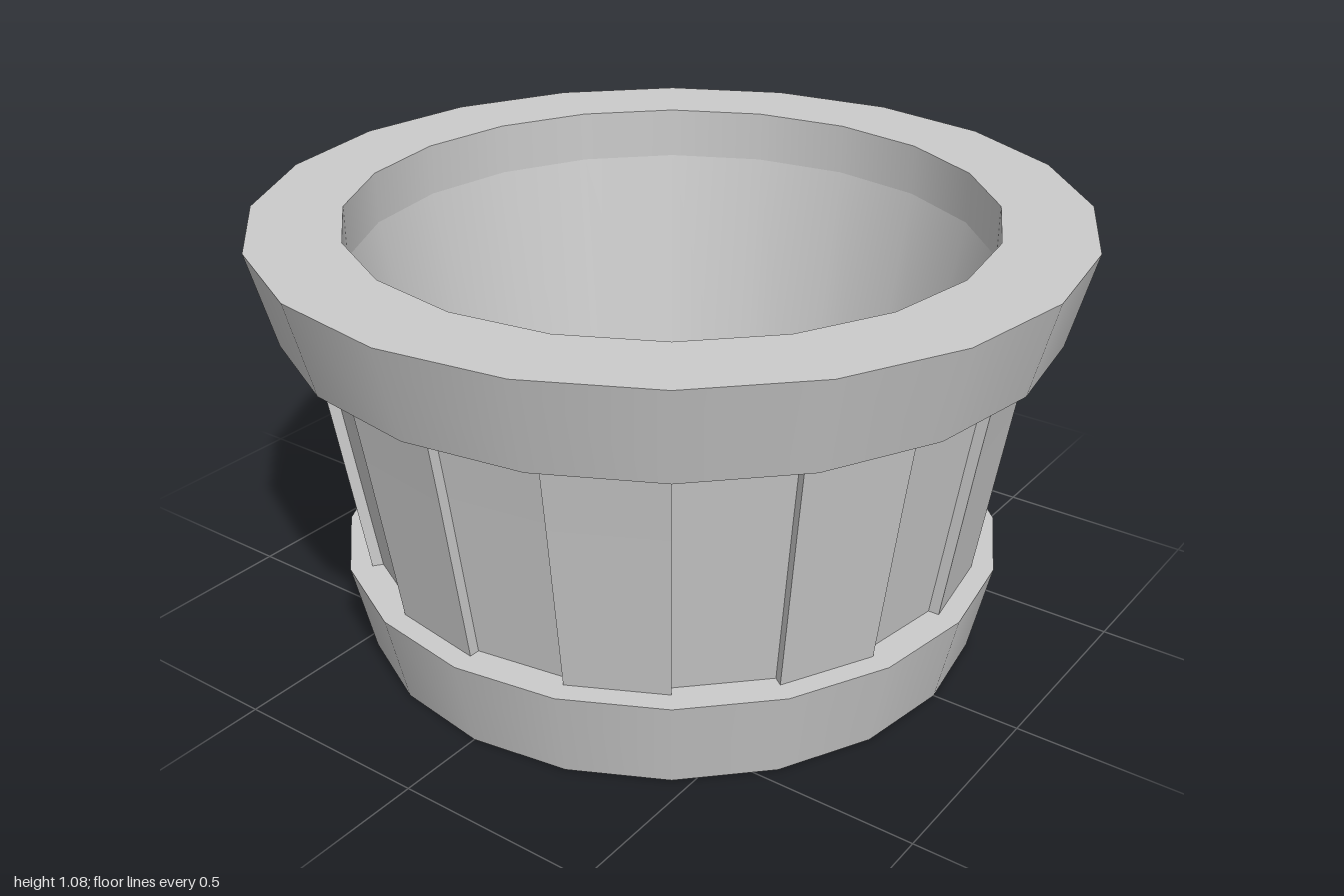
import * as THREE from 'three';

const SIDES = 20;
const STEP = (Math.PI * 2) / SIDES;
const material = new THREE.MeshStandardMaterial({ color: 0xcccccc });

// Revolved part: smooth around the axis, with a sharp edge at every profile point.
// Profiles run bottom to top on the outside, top to bottom on the inside.
function revolved(name, profile) {
  const group = new THREE.Group();
  group.name = name;
  for (let i = 0; i < profile.length - 1; i++) {
    const points = [profile[i], profile[i + 1]].map(([r, y]) => new THREE.Vector2(r, y));
    const mesh = new THREE.Mesh(new THREE.LatheGeometry(points, SIDES), material);
    mesh.name = name + 'Band' + (i + 1);
    group.add(mesh);
  }
  return group;
}

// One flat wooden stave: a front that follows the wall profile, and two radial sides.
function stave(index, inset) {
  const rows = [[0.762, 0.15], [0.776, 0.23], [0.842, 0.66], [0.868, 0.82]];
  const depth = 0.06;
  const a = index * STEP;
  const b = a + STEP;
  const at = (angle, r, y) => [Math.sin(angle) * r, y, Math.cos(angle) * r];
  const positions = [];
  const quad = (p, q, r, s) => positions.push(...p, ...q, ...r, ...p, ...r, ...s);

  for (let i = 0; i < rows.length - 1; i++) {
    const r0 = rows[i][0] - inset, y0 = rows[i][1];
    const r1 = rows[i + 1][0] - inset, y1 = rows[i + 1][1];
    quad(at(a, r0, y0), at(b, r0, y0), at(b, r1, y1), at(a, r1, y1));
    quad(at(a, r0 - depth, y0), at(a, r0, y0), at(a, r1, y1), at(a, r1 - depth, y1));
    quad(at(b, r0, y0), at(b, r0 - depth, y0), at(b, r1 - depth, y1), at(b, r1, y1));
  }
  const geometry = new THREE.BufferGeometry();
  geometry.setAttribute('position', new THREE.Float32BufferAttribute(positions, 3));
  geometry.computeVertexNormals();
  const mesh = new THREE.Mesh(geometry, material);
  mesh.name = 'stave' + (index + 1);
  return mesh;
}

export function createModel() {
  const model = new THREE.Group();
  model.name = 'planterTub';

  // Flared base hoop with a closed underside and a flat ledge
  model.add(revolved('baseHoop', [[0, 0], [0.78, 0], [0.83, 0.23], [0.71, 0.23]]));

  // Wall of staves, alternately proud and recessed
  const wall = new THREE.Group();
  wall.name = 'staveWall';
  for (let i = 0; i < SIDES; i++) wall.add(stave(i, i % 2 ? 0.027 : 0));
  model.add(wall);

  // Heavy flared rim with a bevelled underside and a short upright lip inside
  model.add(revolved('rim', [
    [0.77, 0.815], [0.86, 0.82], [0.94, 0.848], [1, 1.08], [0.78, 1.08], [0.78, 0.95],
  ]));

  // Tapering inner wall and floor
  model.add(revolved('innerTub', [[0.78, 0.95], [0.625, 0.06], [0, 0.06]]));

  return model;
}
